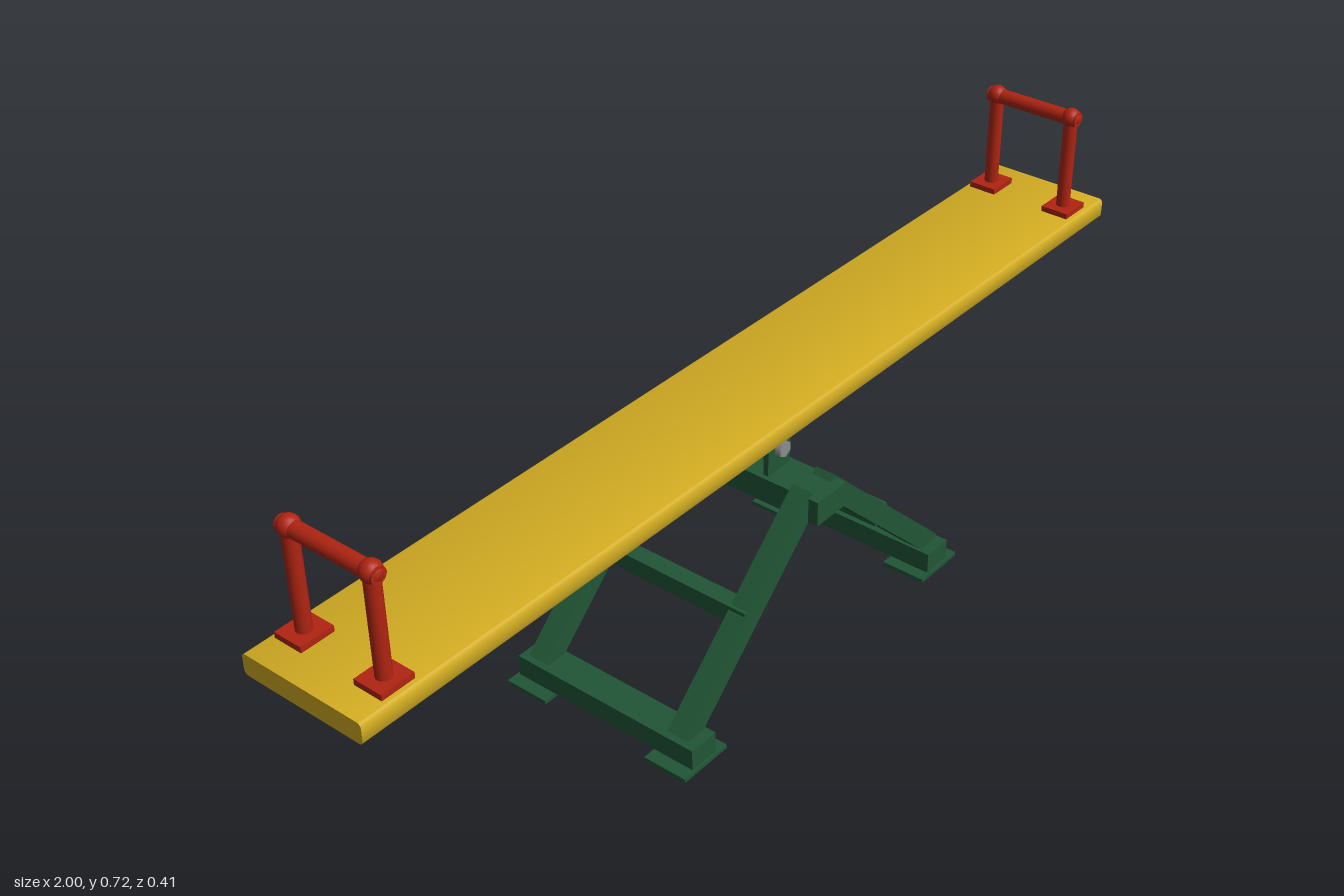
import * as THREE from 'three';
import { toCreasedNormals } from 'three/addons/utils/BufferGeometryUtils.js';

const material = (name, color) => {
  const m = new THREE.MeshStandardMaterial({ color });
  m.name = name;
  return m;
};

export function createModel() {
  const yellow = material('yellow paint', 0xd2ac22);
  const green = material('green paint', 0x215637);
  const red = material('red paint', 0xb02412);
  const steel = material('grey steel', 0x8b8b91);

  const root = new THREE.Group();
  root.name = 'seesaw';

  const add = (parent, name, geometry, mat, x, y, z) => {
    const mesh = new THREE.Mesh(geometry, mat);
    mesh.name = name;
    mesh.position.set(x, y, z);
    parent.add(mesh);
    return mesh;
  };
  const box = (parent, name, mat, size, pos) =>
    add(parent, name, new THREE.BoxGeometry(...size), mat, ...pos);
  const rodZ = (parent, name, mat, r, length, pos, sides = 20) =>
    add(parent, name, new THREE.CylinderGeometry(r, r, length, sides).rotateX(Math.PI / 2), mat, ...pos);
  const group = (name) => {
    const g = new THREE.Group();
    g.name = name;
    root.add(g);
    return g;
  };

  // Plank with rounded long edges
  const w = 0.125, h = 0.02, r = 0.008;
  const section = new THREE.Shape();
  section.moveTo(-w + r, -h);
  section.lineTo(w - r, -h);
  section.absarc(w - r, -h + r, r, -Math.PI / 2, 0);
  section.absarc(w - r, h - r, r, 0, Math.PI / 2);
  section.absarc(-w + r, h - r, r, Math.PI / 2, Math.PI);
  section.absarc(-w + r, -h + r, r, Math.PI, Math.PI * 1.5);
  const plankGeo = new THREE.ExtrudeGeometry(section, { depth: 2, bevelEnabled: false, curveSegments: 5 })
    .translate(0, 0, -1).rotateY(Math.PI / 2);
  add(root, 'plank', toCreasedNormals(plankGeo, 0.6), yellow, 0, 0.48, 0);

  // Stand: ridge beam carried by two ladder-shaped leg frames
  const stand = group('stand');
  box(stand, 'ridgeBeam', green, [0.08, 0.049, 0.4], [0, 0.3475, 0]);

  const top = new THREE.Vector2(0.02, 0.368), foot = new THREE.Vector2(0.36, 0.044);
  const mid = top.clone().add(foot).multiplyScalar(0.5);
  const legLength = top.distanceTo(foot);
  const legAngle = Math.atan2(foot.y - top.y, foot.x - top.x);

  for (const s of [-1, 1]) {
    const side = s > 0 ? 'left' : 'right';

    // Leg frame
    for (const z of [-0.16, 0.16]) {
      const leg = box(stand, side + 'Leg', green, [legLength, 0.04, 0.04], [s * mid.x, mid.y, z]);
      leg.rotation.z = s * legAngle;
      box(stand, side + 'FootPlate', green, [0.112, 0.008, 0.09], [s * 0.35, 0.004, Math.sign(z) * 0.16]);
    }
    box(stand, side + 'CrossBar', green, [0.035, 0.035, 0.35], [s * 0.19, 0.2065, 0]);
    box(stand, side + 'FootBeam', green, [0.062, 0.042, 0.4], [s * 0.349, 0.029, 0]);

    // Handle: two posts on base plates joined by a grip
    const handle = group(side + 'Handle');
    handle.position.x = s * 0.915;
    for (const z of [-0.084, 0.084]) {
      box(handle, 'handleBase', red, [0.065, 0.011, 0.057], [0, 0.5055, z]);
      add(handle, 'handlePost', new THREE.CylinderGeometry(0.0135, 0.0135, 0.187, 20), red, 0, 0.6035, z);
      add(handle, 'handleJoint', new THREE.SphereGeometry(0.019, 16, 10), red, 0, 0.698, z);
    }
    rodZ(handle, 'handleGrip', red, 0.0145, 0.2, [0, 0.697, 0]);
  }

  // Pivot: ears on the beam, an axle, and a yoke under the plank
  const pivot = group('pivot');
  box(pivot, 'yokePlate', steel, [0.13, 0.009, 0.13], [0, 0.456, 0]);
  for (const s of [-1, 1]) {
    box(pivot, 'pivotEar', green, [0.062, 0.07, 0.01], [0, 0.4, s * 0.081]);
    box(pivot, 'yokeCheek', steel, [0.07, 0.052, 0.009], [0, 0.428, s * 0.0635]);
    rodZ(pivot, 'axleNut', steel, 0.016, 0.012, [0, 0.418, s * 0.093], 6);
  }
  rodZ(pivot, 'axle', steel, 0.01, 0.19, [0, 0.418, 0]);

  return root;
}
